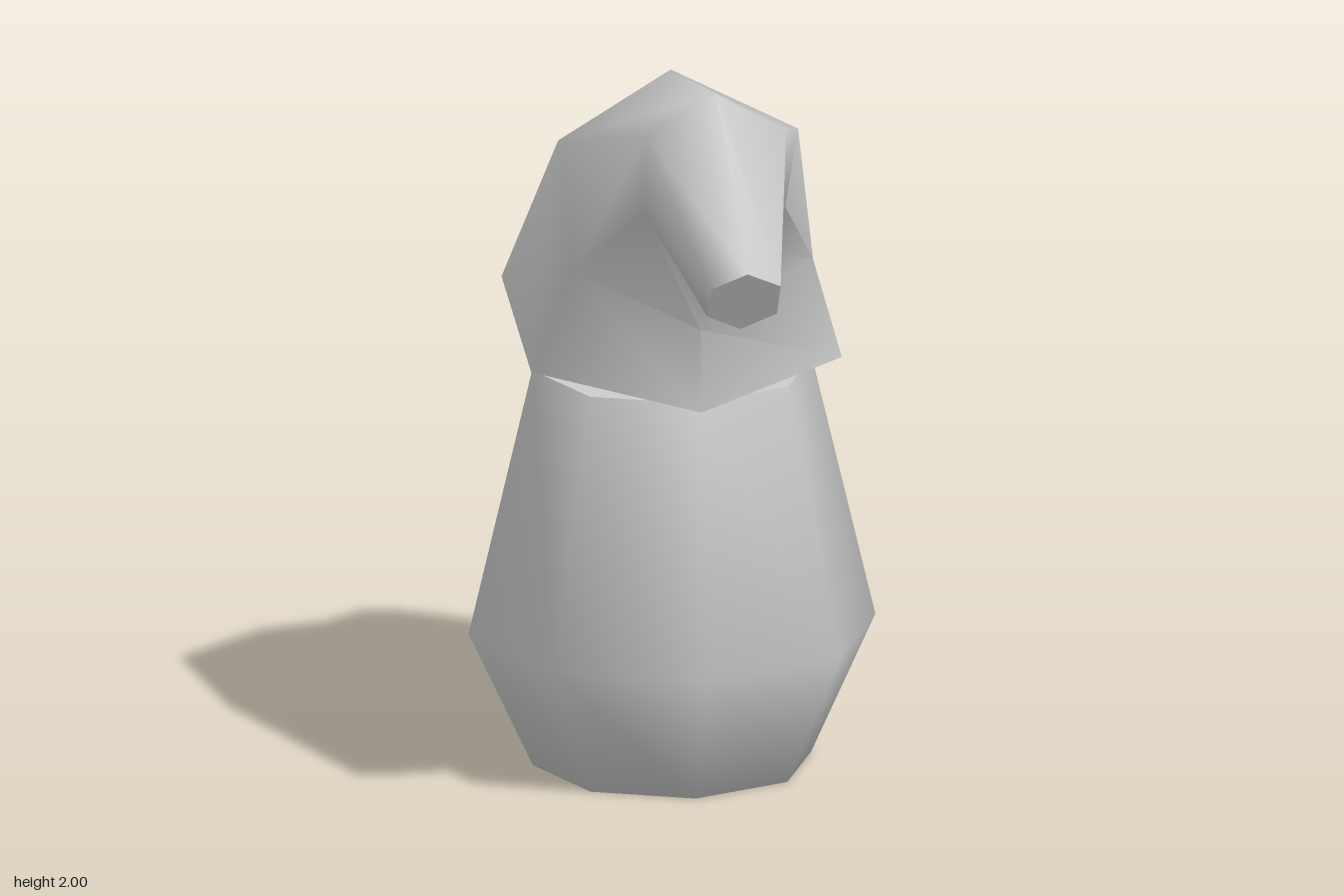
import * as THREE from 'three';
import { toCreasedNormals } from 'three/addons/utils/BufferGeometryUtils.js';

const material = new THREE.MeshStandardMaterial({ color: 0xcccccc });
const openMaterial = new THREE.MeshStandardMaterial({ color: 0xcccccc, side: THREE.DoubleSide });
const CREASE = 1.25;

function addPart(group, name, geometry, mat = material) {
  const mesh = new THREE.Mesh(geometry, mat);
  mesh.name = name;
  group.add(mesh);
  return mesh;
}

// Ring of n points around c, spanned by the half axes u and v
function ring(c, u, v, n, phase = 0) {
  return Array.from({ length: n }, (_, i) => {
    const a = phase + (i / n) * Math.PI * 2;
    return c.clone().addScaledVector(u, Math.cos(a)).addScaledVector(v, Math.sin(a));
  });
}

// Skin joining the rings (counter-clockwise about the direction of travel)
function loft(rings, capStart, capEnd) {
  const n = rings[0].length;
  const pos = rings.flat().flatMap((p) => p.toArray());
  const index = [];
  for (let i = 0; i < rings.length - 1; i++) {
    for (let j = 0; j < n; j++) {
      const k = (j + 1) % n;
      const a = i * n + j, b = i * n + k;
      index.push(a, b, a + n, b, b + n, a + n);
    }
  }
  const last = (rings.length - 1) * n;
  for (let j = 1; j < n - 1; j++) {
    if (capStart) index.push(0, j + 1, j);
    if (capEnd) index.push(last, last + j, last + j + 1);
  }
  const g = new THREE.BufferGeometry();
  g.setAttribute('position', new THREE.Float32BufferAttribute(pos, 3));
  g.setIndex(index);
  return toCreasedNormals(g, CREASE);
}

export function createModel() {
  const group = new THREE.Group();
  group.name = 'hattedFigure';

  // Eight-sided pear-shaped body
  const profile = [[0, 0], [0.366, 0], [0.535, 0.365], [0.368, 1.07], [0, 1.07]];
  const bodyGeometry = new THREE.LatheGeometry(profile.map(([r, y]) => new THREE.Vector2(r, y)), 8);
  addPart(group, 'body', toCreasedNormals(bodyGeometry, CREASE)).position.z = -0.27;

  // Head tucked under the hat
  addPart(group, 'head', new THREE.SphereGeometry(0.325, 8, 6)).position.set(0, 1.18, -0.27);

  // Rounded ball on the back: z, half width, half height
  const k = 1 / Math.cos(Math.PI / 8);
  const ballRings = [
    [-0.89, 0.1, 0.125], [-0.79, 0.235, 0.18], [-0.69, 0.265, 0.24],
    [-0.59, 0.285, 0.25], [-0.45, 0.2, 0.17],
  ].map(([z, w, h]) => ring(
    new THREE.Vector3(0, 1.047, z), new THREE.Vector3(w * k, 0, 0),
    new THREE.Vector3(0, h * k, 0), 8, Math.PI / 8));
  addPart(group, 'ball', loft(ballRings, true, true));

  // Six-sided drooping hat: each section runs from its upper (y, z) to its lower (y, z)
  const hatRings = [
    [1.32, -0.73, 1.07, 0.18], [1.86, -0.29, 1.29, 0.165],
    [2.0, 0.41, 1.575, 0.38], [1.655, 0.89, 1.475, 0.78],
  ].map(([y1, z1, y2, z2]) => {
    const upper = new THREE.Vector3(0, y1, z1);
    const lower = new THREE.Vector3(0, y2, z2);
    const u = upper.clone().sub(lower).multiplyScalar(0.5);
    const v = new THREE.Vector3(-u.length(), 0, 0);
    return ring(upper.add(lower).multiplyScalar(0.5), u, v, 6);
  });
  addPart(group, 'hat', loft(hatRings, false, true), openMaterial);

  return group;
}
